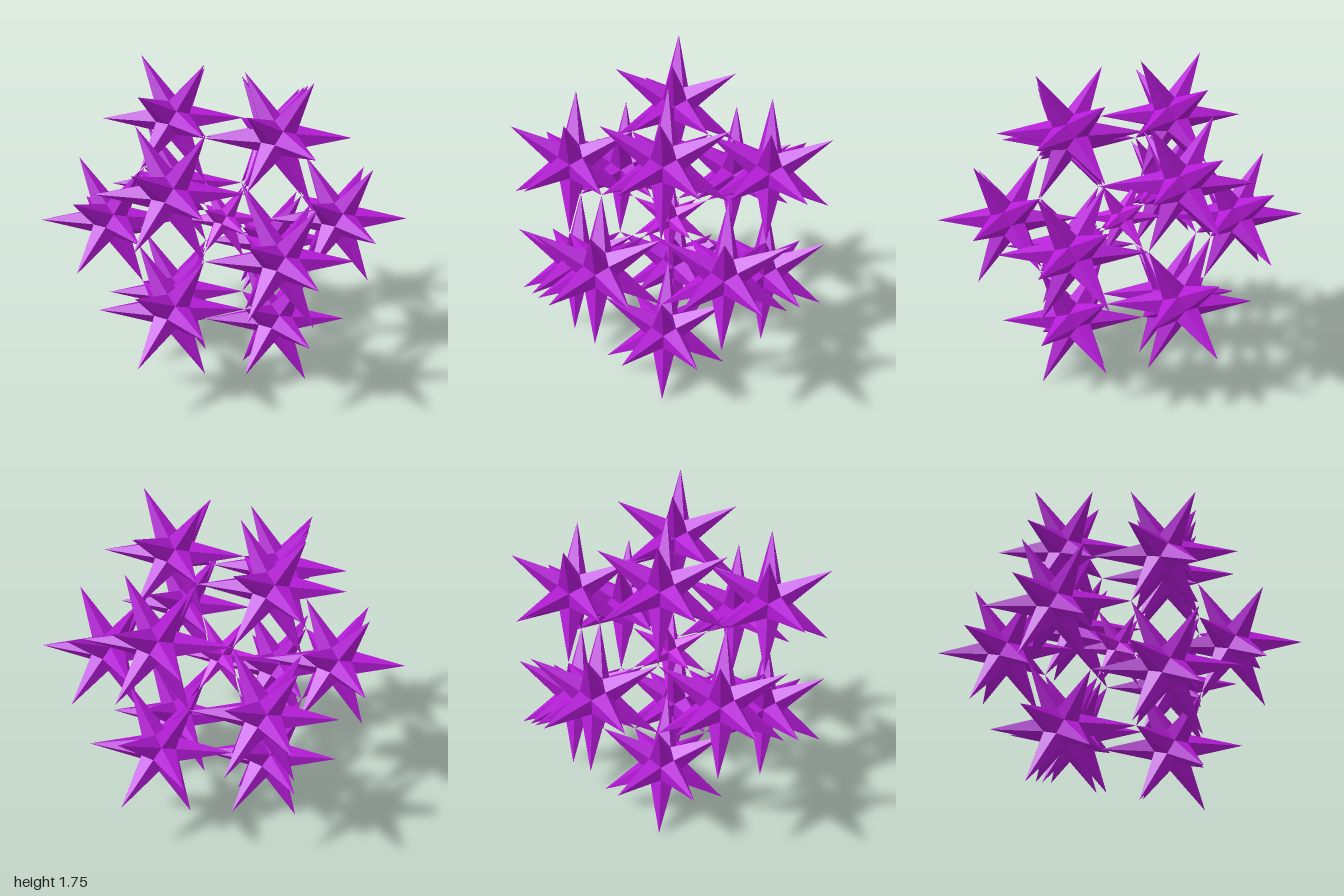
import * as THREE from 'three';

const PHI = (1 + Math.sqrt(5)) / 2;
const REACH = 1.0275;             // distance of the outermost tips from the centre
const ORBIT = REACH / PHI;        // distance of the outer stars from the centre
const SPIKE = ORBIT / PHI;        // tip radius of an outer star

// Twelve spike directions: icosahedron corners turned 45 degrees about y
function spikeDirections() {
  const dirs = [];
  for (const s of [-1, 1]) {
    for (const t of [-PHI, PHI]) {
      dirs.push(new THREE.Vector3(s, t, 0), new THREE.Vector3(0, s, t), new THREE.Vector3(t, 0, s));
    }
  }
  const up = new THREE.Vector3(0, 1, 0);
  return dirs.map((d) => d.normalize().applyAxisAngle(up, -Math.PI / 4));
}

// Unit star: a five-sided spike on every face of a small dodecahedron core
function starGeometry(dirs) {
  const coreRadius = 1.2584 / PHI ** 3;
  const near = (a, b) => a !== b && a.dot(b) > 0.4;
  const corner = (a, b, c) => a.clone().add(b).add(c).setLength(coreRadius);
  const points = [];
  for (const tip of dirs) {
    for (const side of dirs.filter((d) => near(d, tip))) {
      const [k, l] = dirs.filter((d) => near(d, tip) && near(d, side));
      let p = corner(tip, side, k);
      let q = corner(tip, side, l);
      const normal = p.clone().sub(tip).cross(q.clone().sub(tip));
      if (normal.dot(tip) < 0) [p, q] = [q, p];
      for (const v of [tip, p, q]) points.push(v.x, v.y, v.z);
    }
  }
  const geometry = new THREE.BufferGeometry();
  geometry.setAttribute('position', new THREE.Float32BufferAttribute(points, 3));
  geometry.computeVertexNormals();
  return geometry;
}

export function createModel() {
  const group = new THREE.Group();
  group.name = 'starCluster';
  const dirs = spikeDirections();
  const geometry = starGeometry(dirs);
  const outerMaterial = new THREE.MeshStandardMaterial({ color: 0xb41ad6, flatShading: true });
  const coreMaterial = new THREE.MeshStandardMaterial({ color: 0xc41ee2, flatShading: true });
  const middle = new THREE.Vector3(0, REACH * dirs.reduce((m, d) => Math.max(m, d.y), 0), 0);

  function addStar(name, material, offset, size) {
    const star = new THREE.Mesh(geometry, material);
    star.name = name;
    star.scale.setScalar(size);
    star.position.copy(middle).add(offset);
    group.add(star);
  }

  // Outer stars meet tip to tip; the small centre star meets their inner tips
  dirs.forEach((d, i) => addStar(`outerStar${i + 1}`, outerMaterial, d.clone().multiplyScalar(ORBIT), SPIKE));
  addStar('centreStar', coreMaterial, new THREE.Vector3(), SPIKE / PHI);
  return group;
}
